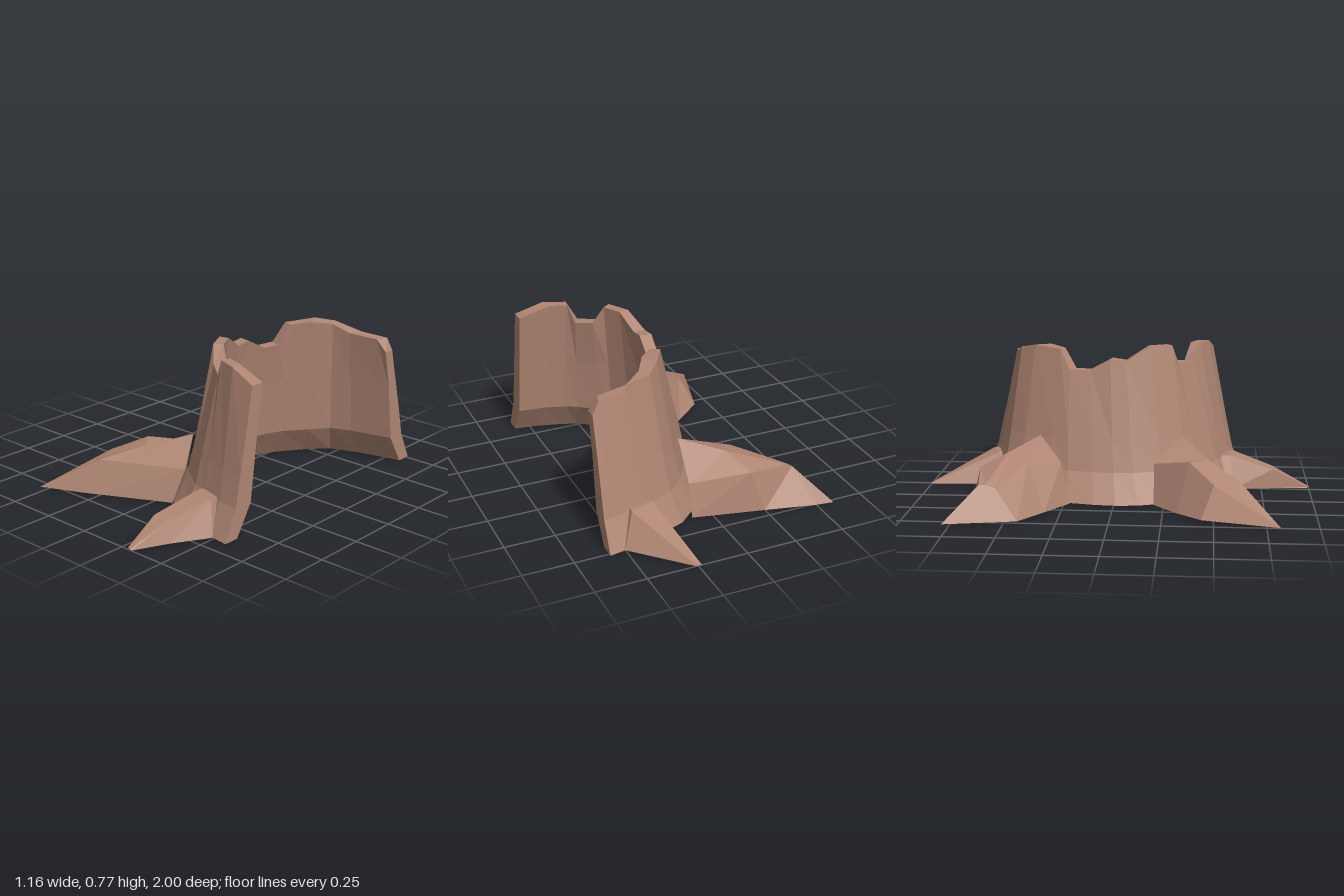
import * as THREE from 'three';

const bark = new THREE.MeshStandardMaterial({ color: 0xb08673 });
bark.name = 'bark';

// Joins equal-sized closed cross-sections into a solid with flat facets and capped ends.
function loft(name, sections) {
  const n = sections[0].length;
  const tris = [];
  for (let s = 0; s < sections.length - 1; s++) {
    const a = sections[s], b = sections[s + 1];
    for (let i = 0; i < n; i++) {
      const j = (i + 1) % n;
      tris.push([a[i], a[j], b[j]], [a[i], b[j], b[i]]);
    }
  }
  const first = sections[0], last = sections[sections.length - 1];
  // Caps are zipped across the section, so bent profiles close cleanly.
  for (let i = 0, j = n - 1; i + 1 < j; i++, j--) {
    for (const [c, flip] of [[first, true], [last, false]]) {
      const quad = [[c[i], c[i + 1], c[j - 1]], [c[i], c[j - 1], c[j]]];
      quad.forEach(t => tris.push(flip ? [t[0], t[2], t[1]] : t));
    }
  }
  // Turn all faces outward using the signed volume.
  const v = tris.map(t => t.map(p => new THREE.Vector3(...p)));
  const volume = v.reduce((sum, [a, b, c]) => sum + a.dot(b.clone().cross(c)), 0);
  const points = v.flatMap(([a, b, c]) => (volume < 0 ? [a, c, b] : [a, b, c]));
  const geometry = new THREE.BufferGeometry().setFromPoints(points);
  geometry.computeVertexNormals();
  const mesh = new THREE.Mesh(geometry, bark);
  mesh.name = name;
  return mesh;
}

// Rim stations: top height, outer top x z, inner top x z, outer base x z.
const rim = [
  [0.71, 0.58, 0.49, 0.58, 0.42, 0.58, 0.67],
  [0.76, 0.44, 0.465, 0.42, 0.40, 0.48, 0.655],
  [0.76, 0.33, 0.42, 0.34, 0.37, 0.34, 0.62],
  [0.67, 0.28, 0.39, 0.31, 0.34, 0.23, 0.59],
  [0.68, 0.18, 0.31, 0.24, 0.28, 0.08, 0.49],
  [0.77, 0.15, 0.28, 0.19, 0.25, 0.00, 0.41],
  [0.77, 0.09, 0.17, 0.14, 0.16, -0.08, 0.28],
  [0.70, 0.05, 0.05, 0.11, 0.05, -0.14, 0.12],
  [0.71, 0.05, -0.03, 0.11, -0.02, -0.15, 0.01],
  [0.65, 0.06, -0.13, 0.12, -0.13, -0.14, -0.10],
  [0.65, 0.08, -0.24, 0.14, -0.21, -0.11, -0.24],
  [0.75, 0.12, -0.29, 0.17, -0.27, -0.06, -0.37],
  [0.76, 0.20, -0.43, 0.24, -0.35, 0.05, -0.54],
  [0.74, 0.27, -0.51, 0.30, -0.45, 0.16, -0.64],
  [0.70, 0.41, -0.55, 0.38, -0.485, 0.32, -0.70],
  [0.69, 0.55, -0.575, 0.53, -0.515, 0.51, -0.75],
  [0.63, 0.58, -0.58, 0.58, -0.525, 0.58, -0.765],
];

// Wall profile at one station: flared outside, rim, flared inside.
function wallSection([top, ox, oz, ix, iz, bx, bz]) {
  const outer = (t, y) => [ox + (bx - ox) * t, y, oz + (bz - oz) * t];
  const inner = (t, y) => [ix + (bx - ix) * t, y, iz + (bz - iz) * t];
  return [
    outer(1, 0), outer(0.62, 0.15), outer(0.44, 0.3), outer(0, top),
    inner(0, top), inner(0.16, 0.44), inner(0.31, 0.15), inner(0.68, 0),
  ];
}

// Each root runs from inside the wall to its tip.
const largeFrontRoot = [
  [[-0.12, 0, 0.2], [-0.07, 0.2, 0.2], [0.07, 0.31, 0.34], [0.11, 0.165, 0.44], [0.08, 0, 0.5]],
  [[-0.27, 0, 0.32], [-0.2, 0.24, 0.38], [-0.12, 0.24, 0.47], [-0.21, 0.165, 0.59], [-0.26, 0, 0.67]],
  [[-0.42, 0.01, 0.44], [-0.35, 0.165, 0.5], [-0.31, 0.165, 0.56], [-0.29, 0.165, 0.63], [-0.32, 0, 0.7]],
  Array(5).fill([-0.53, 0.01, 0.815]),
];
const largeBackRoot = [
  [[0.1, 0, -0.62], [0.1, 0.165, -0.58], [0.07, 0.31, -0.39], [-0.07, 0.2, -0.27], [-0.12, 0, -0.22]],
  [[-0.25, 0, -0.7], [-0.19, 0.2, -0.66], [-0.12, 0.265, -0.52], [-0.2, 0.23, -0.42], [-0.3, 0, -0.33]],
  [[-0.5, 0, -0.76], [-0.43, 0.165, -0.63], [-0.42, 0.165, -0.6], [-0.42, 0.15, -0.55], [-0.47, 0, -0.44]],
  Array(5).fill([-0.58, 0.01, -0.785]),
];
const smallFrontRoot = [
  [[0.23, 0, 0.55], [0.32, 0.16, 0.54], [0.44, 0.16, 0.56], [0.49, 0, 0.6]],
  [[0.23, 0, 0.6], [0.32, 0.16, 0.59], [0.44, 0.16, 0.61], [0.49, 0, 0.66]],
  [[0.265, 0, 0.82], [0.27, 0.1, 0.81], [0.36, 0.1, 0.81], [0.39, 0, 0.83]],
  [[0.28, 0, 0.99], [0.285, 0.005, 0.995], [0.305, 0.005, 1], [0.31, 0, 1]],
];
const smallBackRoot = [
  [[0.25, 0, -0.62], [0.32, 0.16, -0.58], [0.44, 0.16, -0.62], [0.5, 0, -0.68]],
  [[0.25, 0, -0.71], [0.32, 0.16, -0.65], [0.44, 0.16, -0.69], [0.5, 0, -0.75]],
  [[0.23, 0, -1], [0.235, 0.005, -1], [0.255, 0.005, -1], [0.26, 0, -1]],
];

export function createModel() {
  const stump = new THREE.Group();
  stump.name = 'hollowStump';
  stump.add(
    loft('trunkWall', rim.map(wallSection)),
    loft('largeFrontRoot', largeFrontRoot),
    loft('largeBackRoot', largeBackRoot),
    loft('smallFrontRoot', smallFrontRoot),
    loft('smallBackRoot', smallBackRoot),
  );
  return stump;
}
